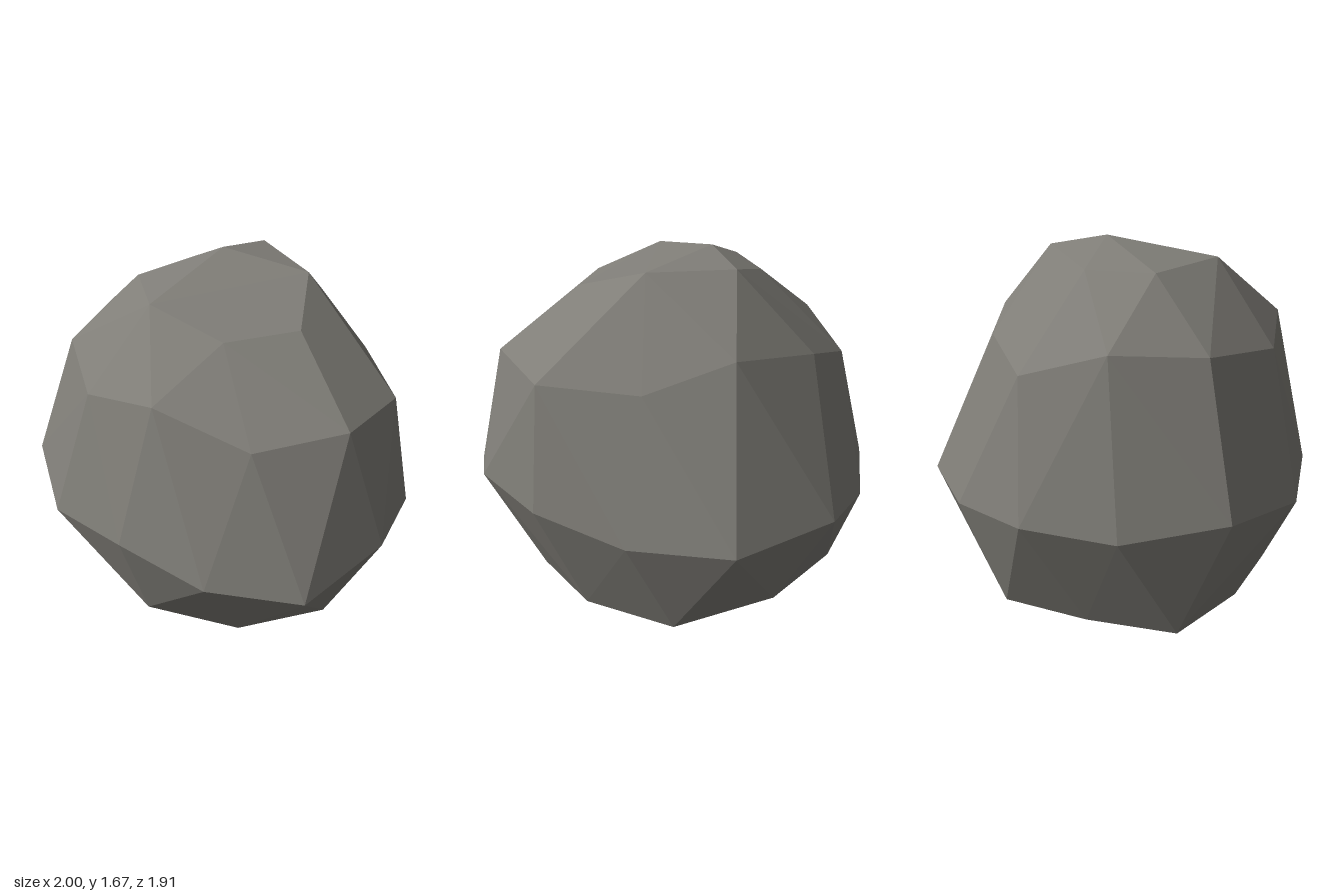
import * as THREE from 'three';
import { ConvexGeometry } from 'three/addons/geometries/ConvexGeometry.js';

// Corner rings of the boulder, from the ground up: [x, y, z]
const base = [
  [0.72, 0, 0], [0.56, 0, -0.4], [0.19, 0, -0.7], [-0.35, 0, -0.59], [-0.76, 0, -0.29],
  [-0.78, 0, 0.14], [-0.73, 0, 0.56], [-0.28, 0, 0.69], [0.17, 0, 0.7], [0.56, 0, 0.42],
];
const waist = [
  [-1, 0.5, -0.07], [-0.95, 0.48, 0.37], [-0.71, 0.545, 0.79], [-0.23, 0.5, 0.95], [0.24, 0.56, 0.87],
  [0.68, 0.51, 0.7], [0.99, 0.48, 0.375], [1, 0.6, -0.07], [0.795, 0.56, -0.44], [0.42, 0.49, -0.74],
  [-0.03, 0.51, -0.96], [-0.555, 0.53, -0.79], [-0.82, 0.48, -0.49],
];
const shoulder = [
  [-0.775, 1.24, 0.25], [-0.545, 1.215, 0.62], [-0.1, 1.18, 0.78], [0.31, 1.285, 0.69],
  [0.68, 1.15, 0.44], [0.865, 1.2, 0.055], [0.74, 1.16, -0.345], [0.3, 1.155, -0.57],
  [-0.11, 1.3, -0.63], [-0.545, 1.23, -0.44], [-0.81, 1.12, -0.16],
];
const crown = [
  [-0.02, 1.575, 0.475], [0.335, 1.49, 0.33], [0.47, 1.505, 0.01], [0.21, 1.615, -0.25],
  [-0.2, 1.62, -0.31], [-0.41, 1.535, -0.03], [-0.39, 1.535, 0.31], [-0.16, 1.67, -0.03],
];

export function createModel() {
  const group = new THREE.Group();
  group.name = 'rock';

  const stone = new THREE.MeshStandardMaterial({ color: 0x807e78 });
  stone.name = 'stone grey';

  // Faceted boulder: a flat-shaded shell stretched over the rings
  const points = [base, waist, shoulder, crown].flat().map((p) => new THREE.Vector3(...p));
  const boulder = new THREE.Mesh(new ConvexGeometry(points), stone);
  boulder.name = 'boulder';
  group.add(boulder);

  return group;
}
